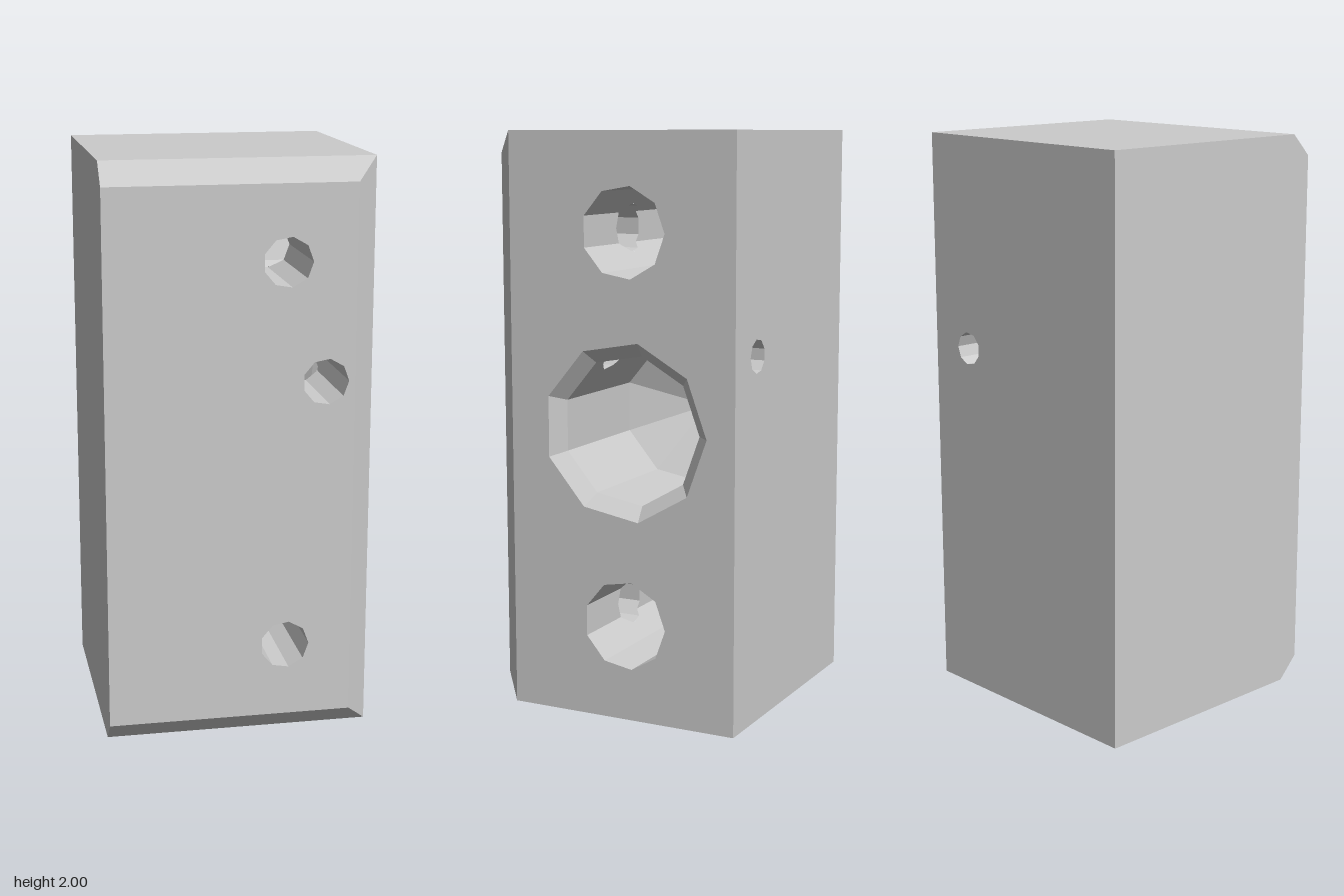
import * as THREE from 'three';

const H = 0.46, TOP = 2, C = 0.076, F = H - C; // half width, height, chamfer, chamfer start
const ZC = -0.05, SIDES = 9;
const grey = new THREE.MeshStandardMaterial({ color: 0xcccccc, flatShading: true });
const inner = new THREE.MeshStandardMaterial({ color: 0xcccccc, flatShading: true, side: THREE.DoubleSide });

// Regular polygon with a corner pointing along dir * u
const ngon = (u, v, r, dir) => Array.from({ length: SIDES }, (_, i) => {
  const a = (i / SIDES) * Math.PI * 2;
  return [u + dir * r * Math.cos(a), v + r * Math.sin(a)];
});

// Same polygon with extra points along each edge, closed
function dense(poly, k = 24) {
  const out = [];
  poly.forEach((p, i) => {
    const q = poly[(i + 1) % poly.length];
    for (let j = 0; j < k; j++) out.push([p[0] + (q[0] - p[0]) * j / k, p[1] + (q[1] - p[1]) * j / k]);
  });
  out.push(poly[0]);
  return out;
}

// Range of u that a polygon covers at height v
function span(poly, v) {
  const us = [];
  poly.forEach((p, i) => {
    const q = poly[(i + 1) % poly.length];
    if ((p[1] <= v) !== (q[1] <= v)) us.push(p[0] + (q[0] - p[0]) * (v - p[1]) / (q[1] - p[1]));
  });
  return us.length ? [Math.min(...us), Math.max(...us)] : null;
}

// Mesh from a list of flat quads (four corners each)
function quads(name, list, material) {
  const pos = [];
  for (const [a, b, c, d] of list) pos.push(...a, ...b, ...c, ...a, ...c, ...d);
  const g = new THREE.BufferGeometry();
  g.setAttribute('position', new THREE.Float32BufferAttribute(pos, 3));
  g.computeVertexNormals();
  const m = new THREE.Mesh(g, material);
  m.name = name;
  return m;
}

// Flat face with holes, drawn facing +z at distance H, then turned about y
function face(name, outline, holes, turn) {
  const vec = (l) => l.map(([x, y]) => new THREE.Vector2(x, y));
  const s = new THREE.Shape(vec(outline));
  s.holes = holes.map((h) => new THREE.Path(vec(h)));
  const m = new THREE.Mesh(new THREE.ShapeGeometry(s).translate(0, 0, H).rotateY(turn), grey);
  m.name = name;
  return m;
}

// Blind hole along x: wall with a gap where a cross hole enters, and a drill-point end
function blindHole(name, poly, xOpen, xEnd, r, yc, gapAt, gapX) {
  const list = [], path = dense(poly), tip = [xEnd - r * 0.6, yc, ZC];
  const at = (x, p) => [x, p[1], p[0]];
  const gap = (p) => gapAt(p[0], p[1]) || [gapX, gapX];
  for (let i = 0; i < path.length - 1; i++) {
    const p = path[i], q = path[i + 1], gp = gap(p), gq = gap(q);
    list.push([at(xEnd, p), at(gp[0], p), at(gq[0], q), at(xEnd, q)]);
    list.push([at(gp[1], p), at(xOpen, p), at(xOpen, q), at(gq[1], q)]);
  }
  poly.forEach((p, i) => {
    const q = poly[(i + 1) % SIDES];
    list.push([at(xEnd, p), at(xEnd, q), tip, tip]);
  });
  return quads(name, list, inner);
}

// Hole wall along z; ends follow the z given for each height
function crossHole(name, poly, zFrom, zTo) {
  const path = dense(poly), list = [];
  for (let i = 0; i < path.length - 1; i++) {
    const [a, b] = path[i], [c, d] = path[i + 1];
    list.push([[a, b, zFrom], [c, d, zFrom], [c, d, zTo(d)], [a, b, zTo(b)]]);
  }
  return quads(name, list, inner);
}

export function createModel() {
  const group = new THREE.Group();
  group.name = 'drilledBlock';

  // Hole outlines: x-direction holes in (z, y), z-direction holes in (x, y)
  const heights = [0.333, 1.667];
  const R = 0.155, RB = 0.259, RC = 0.308;
  const bore = ngon(ZC, 1, RB, -1), boreRim = ngon(ZC, 1, RC, -1);
  const pins = heights.map((y) => ngon(ZC, y, R, -1));
  const screws = heights.map((y) => ngon(0.151, y, 0.0845, 1));
  const clampX = 0.283, clampY = 1.262;
  const clampFront = ngon(clampX, clampY, 0.079, 1), clampBack = ngon(clampX, clampY, 0.058, 1);
  const mirror = (poly) => poly.map(([u, v]) => [-u, v]);

  // Block faces
  group.add(
    face('frontFace', [[-H, C], [F, C], [F, TOP - C], [-H, TOP - C]], [...screws, clampFront], 0),
    face('boredFace', [[-F, 0], [H, 0], [H, TOP], [-F, TOP]], [...pins, boreRim].map(mirror), Math.PI / 2),
    face('backFace', [[-H, 0], [H, 0], [H, TOP], [-H, TOP]], [mirror(clampBack)], Math.PI),
    face('plainSide', [[-H, 0], [F, 0], [H, C], [H, TOP - C], [F, TOP], [-H, TOP]], [], -Math.PI / 2),
    quads('topFace', [[[-H, TOP, F], [H, TOP, F], [H, TOP, -H], [-H, TOP, -H]]], grey),
    quads('bottomFace', [[[-H, 0, -H], [H, 0, -H], [H, 0, F], [-H, 0, F]]], grey),
    quads('frontChamfers', [
      [[-H, TOP - C, H], [F, TOP - C, H], [H, TOP, F], [-H, TOP, F]],
      [[-H, 0, F], [H, 0, F], [F, C, H], [-H, C, H]],
      [[F, C, H], [H, 0, F], [H, TOP, F], [F, TOP - C, H]],
    ], grey),
  );

  // Pin holes in the side, each met by a screw hole from the front
  heights.forEach((y, i) => {
    group.add(
      blindHole('pinHole', pins[i], H, H - 0.62, R, y, (z, v) => (z > ZC ? span(screws[i], v) : null), 0.151),
      crossHole('screwHole', screws[i], H, (v) => span(pins[i], v)[1]),
    );
  });

  // Main bore with its chamfered rim; the clamp hole grazes its top
  const zStep = ZC - RB * Math.cos(Math.PI * 4 / 9), yStep = 1 + RB * Math.sin(Math.PI * 4 / 9);
  const xIn = H - (RC - RB);
  group.add(
    blindHole('mainBore', bore, xIn, H - 0.5, RB, 1,
      (z, v) => (v > 1 ? span(z > zStep ? clampFront : clampBack, v) : null), clampX),
    quads('boreChamfer', bore.map((p, i) => {
      const j = (i + 1) % SIDES, a = boreRim[i], b = boreRim[j], q = bore[j];
      return [[xIn, p[1], p[0]], [H, a[1], a[0]], [H, b[1], b[0]], [xIn, q[1], q[0]]];
    }), inner),
  );

  // Stepped clamp hole from front to back
  const hit = (v, side) => { const s = span(bore, v); return s ? s[side] : zStep; };
  const outer = dense(clampFront), small = dense(clampBack);
  const up = ([x, y]) => [x, Math.max(y, yStep), zStep];
  group.add(
    crossHole('clampHoleFront', clampFront, H, (v) => hit(v, 1)),
    crossHole('clampHoleBack', clampBack, -H, (v) => hit(v, 0)),
    quads('clampHoleStep', outer.slice(1).map((p, i) => [up(outer[i]), up(p), up(small[i + 1]), up(small[i])]), inner),
  );
  return group;
}
